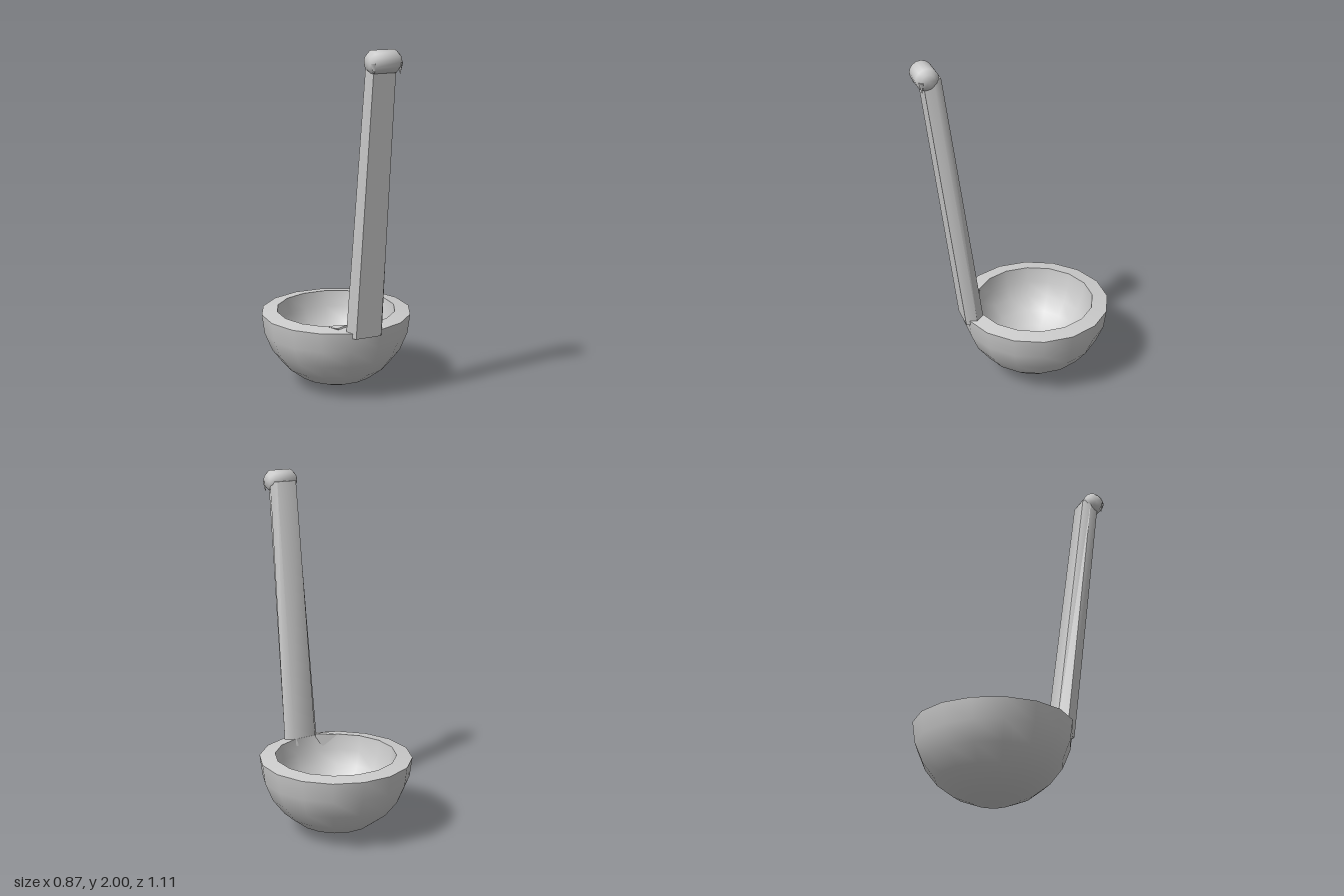
import * as THREE from 'three';
import { toCreasedNormals } from 'three/addons/utils/BufferGeometryUtils.js';
import { ConvexGeometry } from 'three/addons/geometries/ConvexGeometry.js';

const BOWL_Z = -0.12;
const TURN = -0.17; // the handle faces outward from the bowl centre

export function createModel() {
  const group = new THREE.Group();
  const metal = new THREE.MeshStandardMaterial({ color: 0xcccccc });
  metal.name = 'greyMetal';

  const add = (name, geometry, x = 0, y = 0, z = 0) => {
    const mesh = new THREE.Mesh(geometry, metal);
    mesh.name = name;
    mesh.position.set(x, y, z);
    group.add(mesh);
    return mesh;
  };

  // Bowl: outer and inner shells joined by a slightly sloping rim
  const arc = (radius, depth, top) => Array.from({ length: 7 }, (_, i) => {
    const a = (i / 6) * Math.PI / 2;
    return new THREE.Vector2(radius * Math.sin(a), top - depth * Math.cos(a));
  });
  const outer = arc(0.435, 0.437, 0.44);
  const inner = arc(0.345, 0.355, 0.453).reverse();
  add('bowlOuter', new THREE.LatheGeometry(outer, 16), 0, 0, BOWL_Z);
  add('bowlRim', new THREE.LatheGeometry([outer[6], inner[0]], 16), 0, 0, BOWL_Z);
  add('bowlInner', new THREE.LatheGeometry(inner, 16), 0, 0, BOWL_Z);

  // Handle: six-sided section, lofted from the rim up to the hook
  const section = ({ x, y, z, mid, back, front, depth }) => {
    const c = Math.cos(TURN), s = Math.sin(TURN);
    return [[-front, depth], [front, depth], [mid, -0.005], [back, -depth], [-back, -depth], [-mid, -0.005]]
      .map(([t, n]) => [x + t * c + n * s, y, z - t * s + n * c]);
  };
  const rings = [
    { x: -0.069, y: 0.41, z: 0.262, mid: 0.11, back: 0.072, front: 0.076, depth: 0.054 },
    { x: -0.11, y: 1.94, z: 0.457, mid: 0.084, back: 0.062, front: 0.063, depth: 0.049 },
  ].map(section);
  const index = [];
  for (let i = 0; i < 6; i++) {
    const j = (i + 1) % 6;
    index.push(i, j, j + 6, i, j + 6, i + 6);
  }
  for (let i = 1; i < 5; i++) index.push(0, i + 1, i, 6, 6 + i, 7 + i);
  const loft = new THREE.BufferGeometry();
  loft.setAttribute('position', new THREE.Float32BufferAttribute(rings.flat(2), 3));
  loft.setIndex(index);
  add('handle', toCreasedNormals(loft, 1.0));

  // Rolled hook at the tip of the handle
  const roll = [[0, -0.09], [0.038, -0.09], [0.063, -0.064], [0.063, 0.064], [0.038, 0.09], [0, 0.09]]
    .map(([r, h]) => new THREE.Vector2(r, h));
  const hook = new THREE.LatheGeometry(roll, 16);
  hook.rotateZ(Math.PI / 2);
  hook.scale(1, 0.97, 1.0);
  add('hook', toCreasedNormals(hook, 0.9), -0.115, 1.939, 0.48).rotation.y = TURN;

  // Ragged lips under both ends of the hook
  for (const [x, z] of [[-0.192, 0.508], [-0.042, 0.528]]) {
    add('hookLip', new THREE.ConeGeometry(0.018, 0.06, 4).rotateX(Math.PI), x, 1.905, z);
  }

  // Small fillet where the handle meets the inside of the rim
  const fillet = [[-0.235, 0.452, 0.12], [-0.13, 0.462, 0.195], [-0.21, 0.455, 0.2],
    [-0.16, 0.38, 0.17], [-0.13, 0.4, 0.21]].map((p) => new THREE.Vector3(...p));
  add('fillet', new ConvexGeometry(fillet));

  return group;
}
